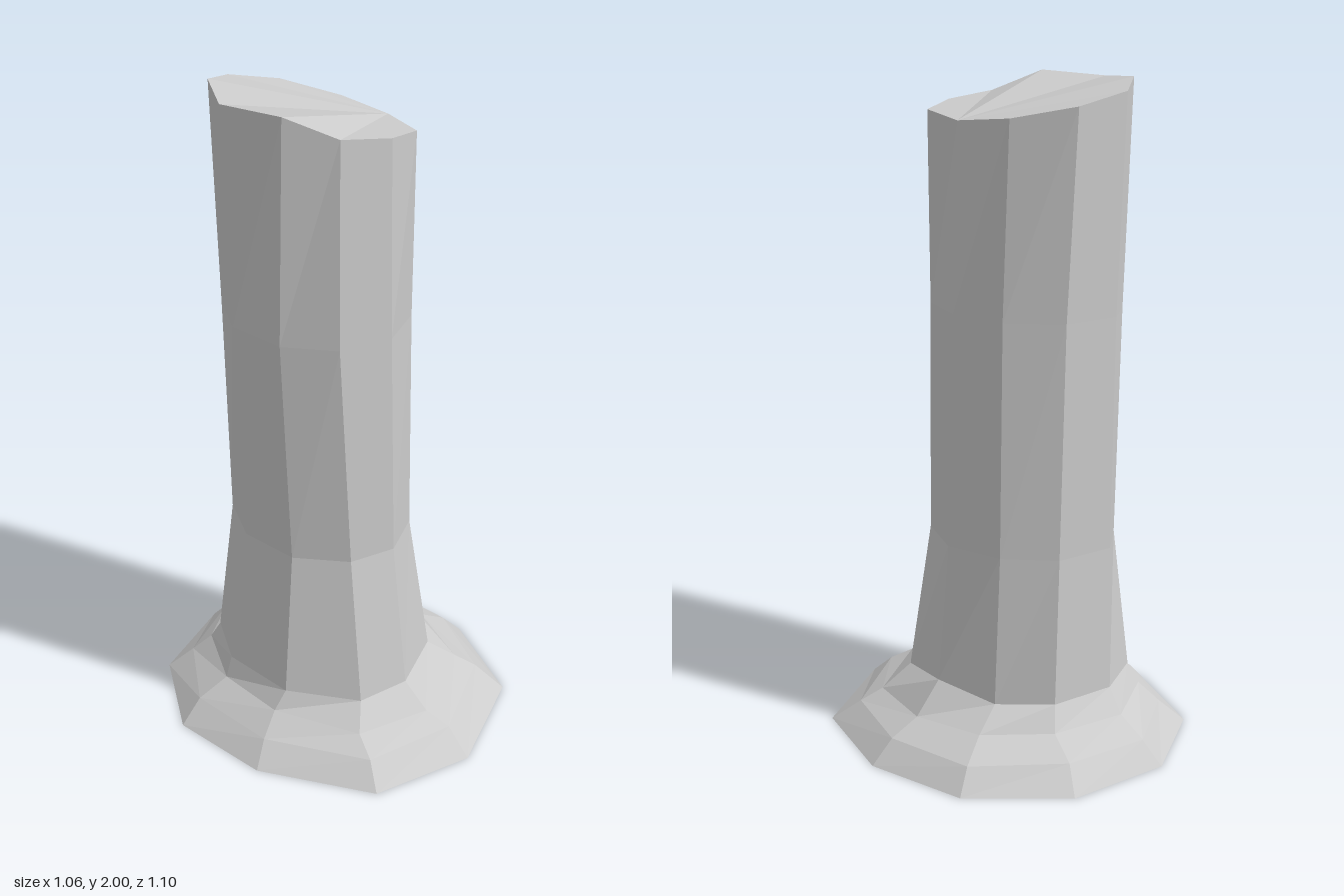
import * as THREE from 'three';

// All rings run back -> right -> front -> left, ten corners of [x, z]
const crown = [[-.14, -.365], [.03, -.365], [.16, -.225], [.205, -.04], [.16, .18], [.03, .26], [-.13, .26], [-.26, .18], [-.33, -.04], [-.26, -.25]];
const upper = [[-.13, -.345], [.05, -.345], [.18, -.22], [.225, -.04], [.18, .145], [.04, .26], [-.13, .26], [-.26, .15], [-.31, -.04], [-.25, -.23]];
const lower = [[-.13, -.335], [.06, -.335], [.19, -.22], [.25, -.04], [.19, .145], [.06, .26], [-.09, .26], [-.23, .15], [-.285, -.04], [-.24, -.22]];
const foot = [[-.13, -.345], [.08, -.345], [.21, -.22], [.29, -.04], [.25, .18], [.065, .335], [-.1, .34], [-.28, .19], [-.35, -.04], [-.29, -.24]];
const inner = [[-.13, -.4], [.11, -.385], [.295, -.26], [.37, -.04], [.34, .205], [.1, .405], [-.14, .4], [-.32, .19], [-.37, -.04], [-.31, -.27]];
const middle = [[-.14, -.49], [.13, -.48], [.38, -.32], [.46, -.04], [.4, .24], [.145, .465], [-.15, .48], [-.38, .23], [-.46, -.055], [-.36, -.31]];
const rim = [[-.165, -.55], [.165, -.55], [.43, -.355], [.53, -.04], [.465, .31], [.16, .55], [-.17, .55], [-.43, .275], [-.53, -.04], [-.43, -.355]];

// Give a ring its heights: one number, or one per corner
const lift = (ring, y) => ring.map(([x, z], i) => [x, Array.isArray(y) ? y[i] : y, z]);

// Join rings from bottom to top into a flat-faceted skin, optionally capped
function loft(name, rings, capped) {
  const p = [];
  const n = rings[0].length;
  for (let r = 0; r + 1 < rings.length; r++) {
    for (let i = 0; i < n; i++) {
      const j = (i + 1) % n;
      const [a, b] = [rings[r], rings[r + 1]];
      p.push(...a[i], ...b[i], ...a[j], ...a[j], ...b[i], ...b[j]);
    }
  }
  if (capped) {
    const top = rings[rings.length - 1];
    for (let k = 1; k < n - 1; k++) {
      p.push(...top[3], ...top[(3 + k + 1) % n], ...top[(3 + k) % n]);
    }
  }
  const geometry = new THREE.BufferGeometry();
  geometry.setAttribute('position', new THREE.Float32BufferAttribute(p, 3));
  geometry.computeVertexNormals();
  const material = new THREE.MeshStandardMaterial({ color: 0xcccccc, flatShading: true, side: THREE.DoubleSide });
  const mesh = new THREE.Mesh(geometry, material);
  mesh.name = name;
  return mesh;
}

export function createModel() {
  const group = new THREE.Group();
  group.name = 'trunk';

  const footRing = lift(foot, [.19, .19, .18, .215, .18, .19, .18, .19, .2, .19]);

  // Leaning post with a slanted cut at the top
  group.add(loft('post', [
    footRing,
    lift(lower, .635),
    lift(upper, 1.335),
    lift(crown, [1.97, 1.935, 1.9, 1.885, 1.9, 1.92, 1.94, 2, 1.99, 2]),
  ], true));

  // Flared mound around the foot, open underneath
  group.add(loft('mound', [
    lift(rim, 0),
    lift(middle, .07),
    lift(inner, [.12, .12, .12, .115, .11, .11, .11, .13, .13, .13]),
    footRing,
  ], false));

  return group;
}
